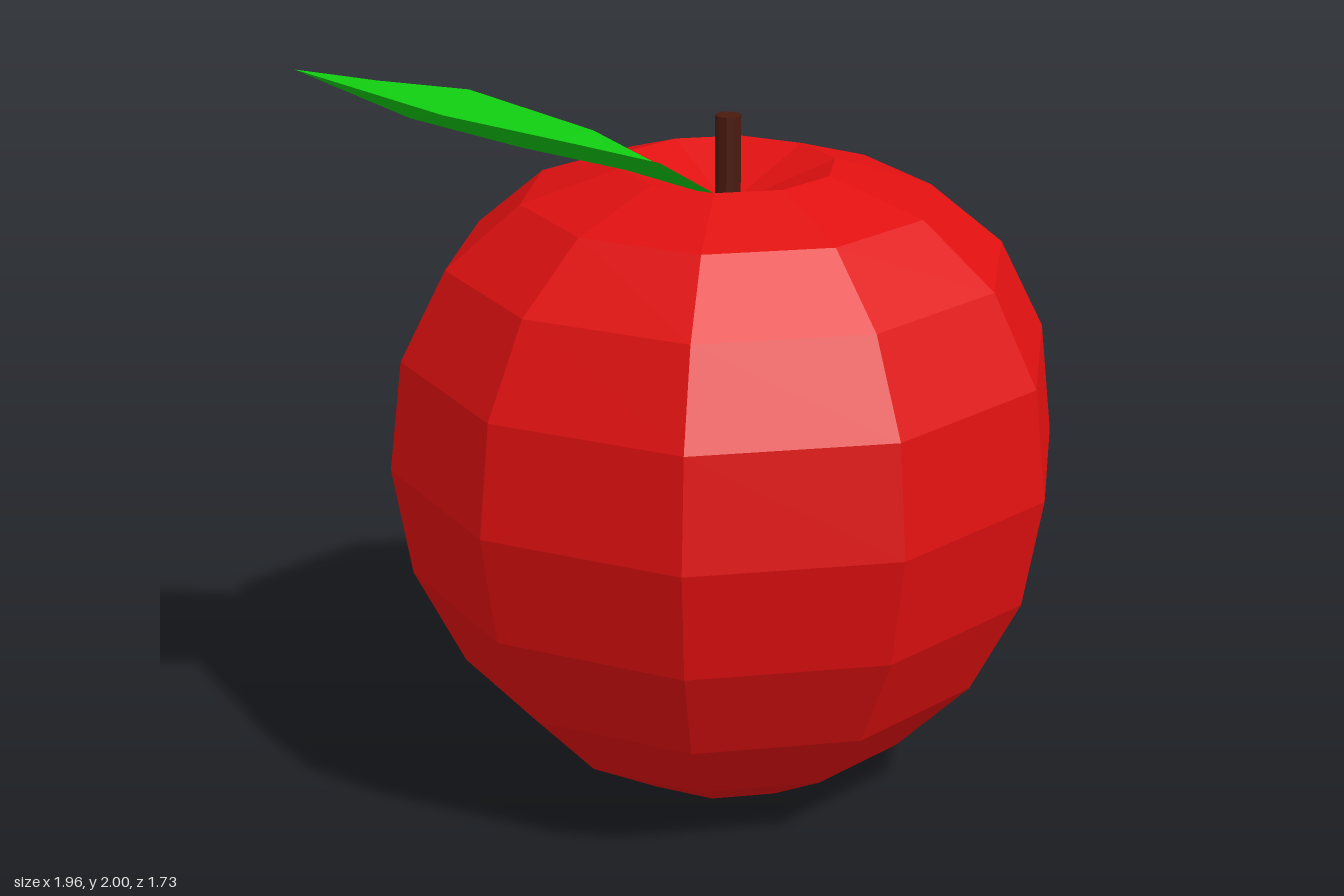
import * as THREE from 'three';

const AXIS_X = 0.157; // the fruit's vertical axis

function makeMesh(name, geometry, color, side = THREE.FrontSide) {
  const material = new THREE.MeshStandardMaterial({ color, flatShading: true, side });
  const mesh = new THREE.Mesh(geometry, material);
  mesh.name = name;
  return mesh;
}

// Faceted body with a dimple at the bottom and at the top
function createFruit() {
  const profile = [
    [0, 0.1], [0.265, 0], [0.49, 0.13], [0.685, 0.33], [0.815, 0.585], [0.865, 0.87],
    [0.832, 1.157], [0.715, 1.39], [0.525, 1.55], [0.275, 1.63], [0, 1.52],
  ].map(([r, y]) => new THREE.Vector2(r, y));
  const fruit = makeMesh('fruit', new THREE.LatheGeometry(profile, 10), 0xe01010);
  fruit.position.x = AXIS_X;
  return fruit;
}

function createStem() {
  const bottom = 1.5, top = 1.755;
  const stem = makeMesh('stem', new THREE.CylinderGeometry(0.033, 0.033, top - bottom, 10), 0x4a1a10);
  stem.position.set(AXIS_X, (bottom + top) / 2, 0);
  return stem;
}

// Thin leaf folded along its midrib: cross-sections of edge, midrib, edge
function createLeaf() {
  // x, midrib height, edge height, half width
  const sections = [
    [0.145, 1.54, 1.54, 0],
    [-0.13, 1.65, 1.71, 0.175],
    [-0.41, 1.742, 1.82, 0.3],
    [-0.7, 1.85, 1.9, 0.19],
    [-0.985, 2, 2, 0],
  ];
  const positions = [];
  const indices = [];
  sections.forEach(([x, ribY, edgeY, w], i) => {
    positions.push(x, edgeY, w, x, ribY, 0, x, edgeY, -w);
    if (i === sections.length - 1) return;
    for (let j = 0; j < 2; j++) {
      const a = i * 3 + j, b = a + 1, c = a + 3, d = a + 4;
      // the end sections shrink to a point, so skip their empty triangles
      if (w > 0) indices.push(a, b, c);
      if (sections[i + 1][3] > 0) indices.push(b, d, c);
      // the first triangle pair at the base needs its far corners
    }
  });
  const geometry = new THREE.BufferGeometry();
  geometry.setAttribute('position', new THREE.Float32BufferAttribute(positions, 3));
  geometry.setIndex(indices);
  geometry.computeVertexNormals();
  return makeMesh('leaf', geometry, 0x10c810, THREE.DoubleSide);
}

export function createModel() {
  const model = new THREE.Group();
  model.name = 'apple';
  model.add(createFruit(), createStem(), createLeaf());
  return model;
}
